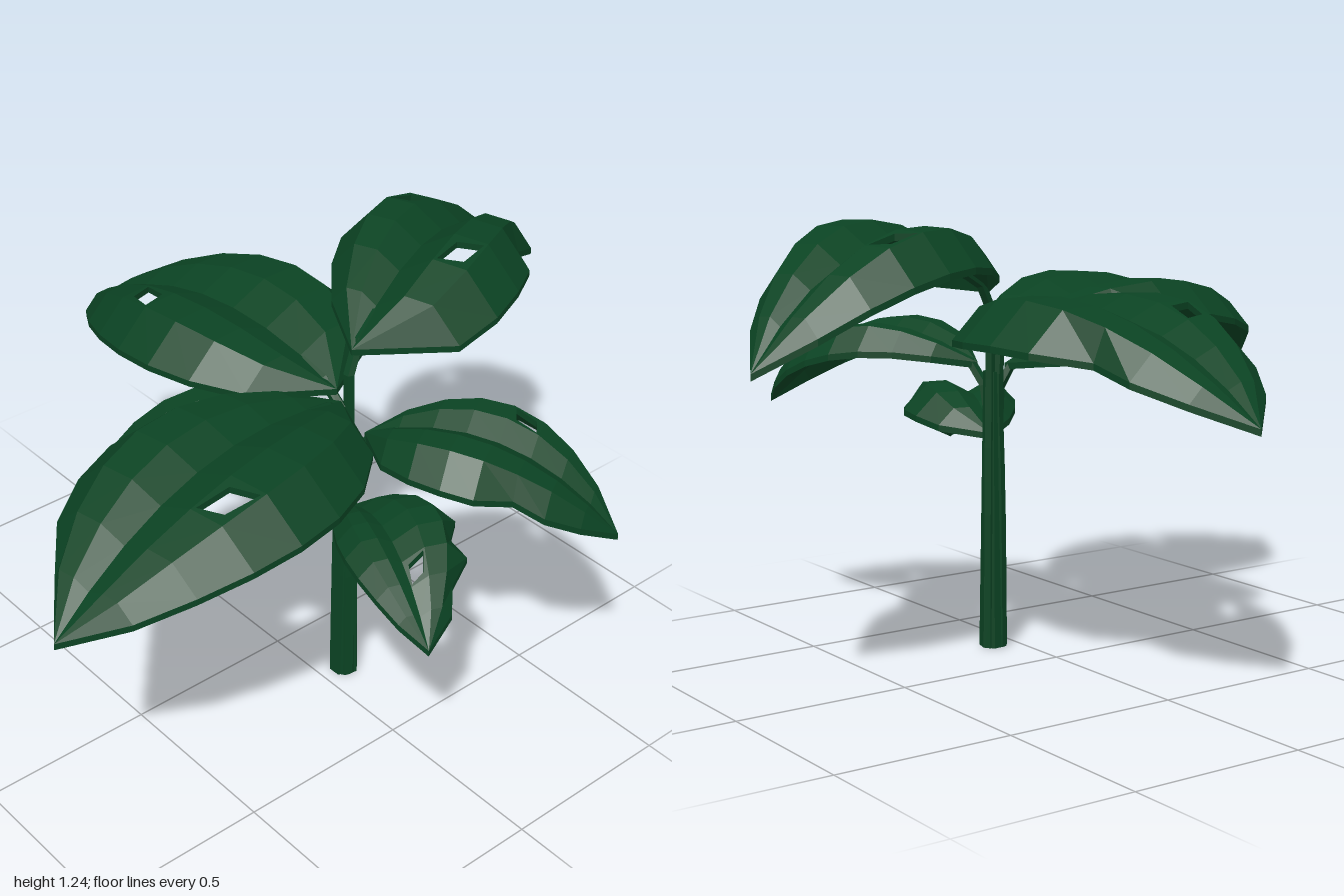
import * as THREE from 'three';

const green = new THREE.MeshStandardMaterial({ color: 0x0b4323, flatShading: true });
const ROWS = 8;
const COLS = [-1, -0.67, -0.33, 0, 0.33, 0.67, 1];
const THICK = 0.018;
const vec = (x, y, z) => new THREE.Vector3(x, y, z);
const stemAt = y => vec(0.074 + 0.012 * y, y, 0.21 - 0.025 * y); // slightly leaning axis

// left/right: half width and skew (a low skew is widest near the base); crest: height of the fold
// tears: [row, side] notches in the edge; holes: [row, column] of the blade
const leaves = [
  { name: 'leftTopLeaf', base: vec(0.11, 1.04, 0.17), tip: vec(1, 0.9, -0.13), midY: 1.17,
    left: [0.26, 0.95], right: [0.3, 0.6], crest: 0.24,
    tears: [[5, 1]], holes: [[4, 1], [2, 4]] },
  { name: 'backLeaf', base: vec(0.07, 0.93, 0.16), tip: vec(0.02, 0.77, -0.87), midY: 0.99,
    left: [0.31, 0.8], right: [0.35, 0.66], crest: 0.15,
    tears: [[5, 1]], holes: [[4, 1]] },
  { name: 'rightLeaf', base: vec(0.05, 0.92, 0.2), tip: vec(-1, 0.77, 0.38), midY: 0.99,
    left: [0.34, 0.8], right: [0.3, 1], crest: 0.14,
    tears: [[2, 1], [7, 1]], holes: [[4, 1]] },
  { name: 'backRightLeaf', base: vec(0.05, 0.82, 0.18), tip: vec(-0.54, 0.68, -0.17), midY: 0.87,
    left: [0.2, 1.1], right: [0.2, 1], crest: 0.2,
    tears: [[6, 1]], holes: [] },
  { name: 'frontLeftLeaf', base: vec(0.1, 0.82, 0.24), tip: vec(0.43, 0.68, 0.86), midY: 0.88,
    left: [0.2, 1], right: [0.22, 0.8], crest: 0.2,
    tears: [[5, 1]], holes: [[4, 1]] },
  { name: 'smallFrontLeaf', base: vec(0.05, 0.61, 0.25), tip: vec(-0.14, 0.53, 0.76), midY: 0.69,
    left: [0.21, 0.8], right: [0.13, 0.9], crest: 0.2,
    tears: [[4, -1], [6, -1]], holes: [[5, 2]] },
];

// Arched midrib through the middle height, fullest a little towards the tip
function ribCurve({ base, tip, midY }) {
  const control = base.clone().lerp(tip, 0.55);
  control.y = 2 * midY - (base.y + tip.y) / 2;
  return new THREE.QuadraticBezierCurve3(base, control, tip);
}

// Folded blade with torn edges, holes and a little thickness
function bladeGeometry({ base, tip, left, right, crest, tears, holes }, rib) {
  const across = vec(base.z - tip.z, 0, tip.x - base.x).normalize();
  const fold = [0, 0.9 * crest, 0.85 * crest, -0.18]; // valley, crest, crest, drooping edge
  const verts = [], grid = [], quads = [];
  const add = v => verts.push(v) - 1;

  for (let i = 0; i <= ROWS; i++) {
    const u = i / ROWS;
    const mid = rib.getPoint(u);
    if (i === 0 || i === ROWS) {
      grid.push(COLS.map(() => verts.length));
      add(mid);
      continue;
    }
    grid.push(COLS.map((v, j) => {
      const [width, skew] = v < 0 ? left : right;
      const torn = tears.some(t => t[0] === i && t[1] === v);
      const half = width * Math.sin(Math.PI * u ** skew) ** 0.75;
      const p = mid.clone().addScaledVector(across, half * v * (torn ? 0.8 : 1));
      p.y += half * fold[Math.abs(j - 3)];
      return add(p);
    }));
  }

  // Cells of the blade; a torn cell becomes a frame around a hole
  for (let i = 0; i < ROWS; i++) {
    for (let j = 0; j < COLS.length - 1; j++) {
      const cell = [grid[i][j], grid[i][j + 1], grid[i + 1][j + 1], grid[i + 1][j]];
      if (!holes.some(h => h[0] === i && h[1] === j)) {
        quads.push(cell);
        continue;
      }
      const centre = vec(0, 0, 0);
      cell.forEach(k => centre.addScaledVector(verts[k], 0.25));
      const inner = cell.map((k, n) => add(verts[k].clone().lerp(centre, n % 2 ? 0.45 : 0.15)));
      for (let n = 0; n < 4; n++) {
        const m = (n + 1) % 4;
        quads.push([cell[n], cell[m], inner[m], inner[n]]);
      }
    }
  }

  // Top and underside, then a wall along every open edge
  const count = verts.length, index = [], edges = new Set();
  const tri = (a, b, c) => {
    if (a !== b && b !== c && c !== a) index.push(a, b, c);
  };
  for (const [a, b, c, d] of quads) {
    for (const [p, q, r] of [[a, b, c], [a, c, d]]) {
      tri(p, q, r);
      tri(p + count, r + count, q + count);
    }
    for (const [p, q] of [[a, b], [b, c], [c, d], [d, a]]) {
      if (p !== q) edges.add(`${p},${q}`);
    }
  }
  for (const key of edges) {
    const [p, q] = key.split(',').map(Number);
    if (edges.has(`${q},${p}`)) continue;
    tri(p, p + count, q + count);
    tri(p, q + count, q);
  }
  const under = verts.map(v => v.clone().setY(v.y - THICK));
  const geo = new THREE.BufferGeometry().setFromPoints([...verts, ...under]);
  geo.setIndex(index);
  geo.computeVertexNormals();
  return geo;
}

// Leaf stalk, bundled against the stem and bending out into the blade
function stalkGeometry({ base }, rib) {
  const out = base.clone().sub(stemAt(base.y)).setY(0).normalize();
  const beside = (r, y) => stemAt(y).addScaledVector(out, r);
  const path = new THREE.CatmullRomCurve3([
    beside(0.026, 0), beside(0.022, base.y * 0.5), beside(0.016, base.y - 0.14),
    base.clone().setY(base.y - 0.02),
    rib.getPoint(0.12).add(vec(0, -0.012, 0)),
  ]);
  return new THREE.TubeGeometry(path, 12, 0.016, 5);
}

export function createModel() {
  const plant = new THREE.Group();
  plant.name = 'plant';
  const addMesh = (geo, name) => {
    const mesh = new THREE.Mesh(geo, green);
    mesh.name = name;
    plant.add(mesh);
    return mesh;
  };

  // Central stem
  const stem = addMesh(new THREE.CylinderGeometry(0.026, 0.039, 0.8, 7), 'stem');
  stem.position.copy(stemAt(0.4));
  stem.rotation.set(-0.025, 0, -0.012);

  for (const leaf of leaves) {
    const rib = ribCurve(leaf);
    addMesh(bladeGeometry(leaf, rib), leaf.name);
    addMesh(stalkGeometry(leaf, rib), leaf.name + 'Stalk');
  }
  return plant;
}
